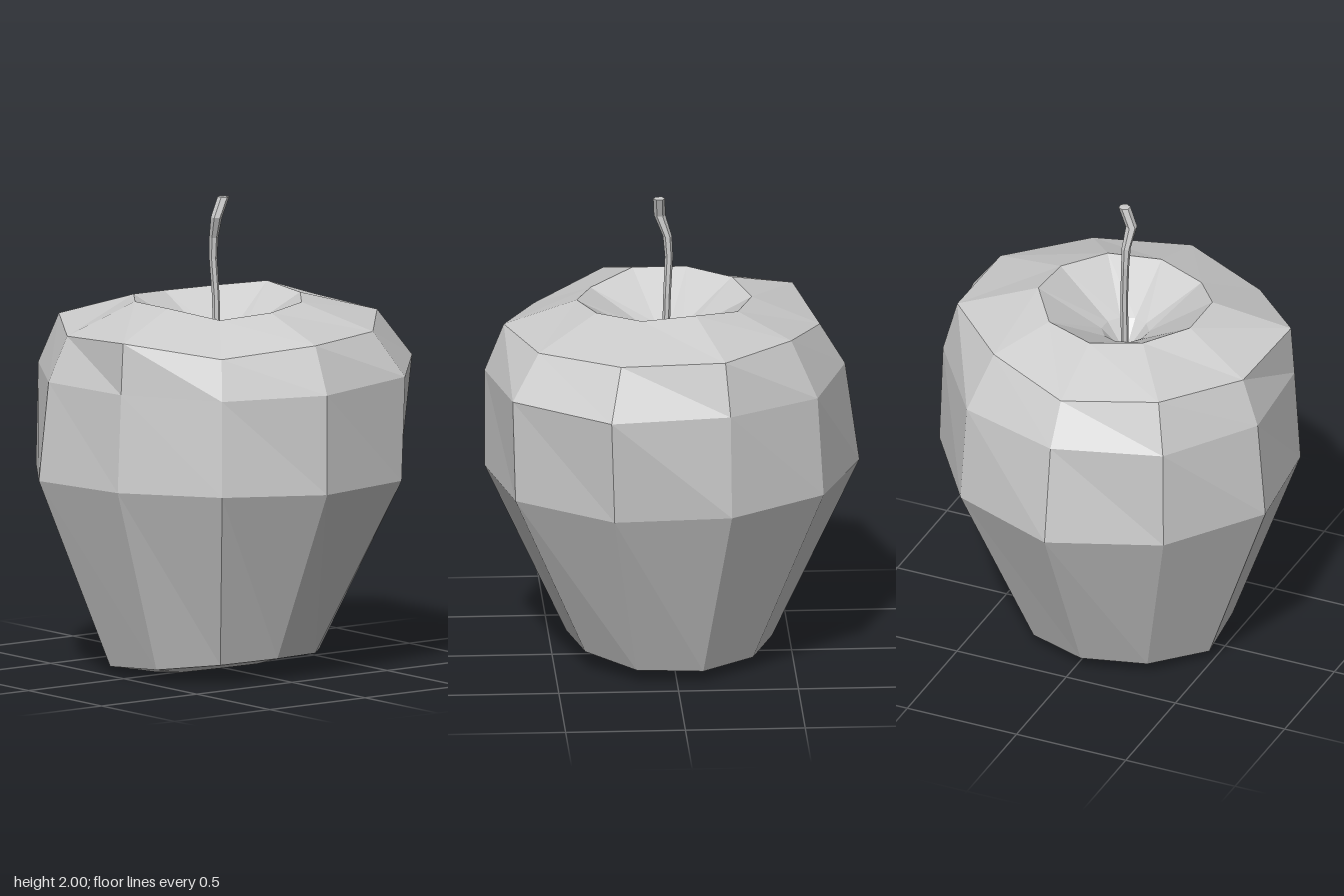
import * as THREE from 'three';

// Skins a stack of closed rings (arrays of [x, y, z], counter-clockwise from above, bottom to top).
function loft(rings) {
  const n = rings[0].length;
  const index = [];
  for (let i = 0; i < rings.length - 1; i++) {
    for (let k = 0; k < n; k++) {
      const a = i * n + k, b = i * n + (k + 1) % n;
      index.push(a, b, a + n, b, b + n, a + n);
    }
  }
  const geometry = new THREE.BufferGeometry();
  geometry.setAttribute('position', new THREE.Float32BufferAttribute(rings.flat(2), 3));
  geometry.setIndex(index);
  const flat = geometry.toNonIndexed();
  flat.computeVertexNormals();
  return flat;
}

// One ring; radius and height are single values or one value per corner.
function ring(n, cx, cz, radius, height) {
  const at = (v, k) => (Array.isArray(v) ? v[k] : v);
  return Array.from({ length: n }, (_, k) => {
    const t = (k / n) * Math.PI * 2;
    return [cx + at(radius, k) * Math.cos(t), at(height, k), cz - at(radius, k) * Math.sin(t)];
  });
}

export function createModel() {
  const group = new THREE.Group();
  const material = new THREE.MeshStandardMaterial({ color: 0xcccccc, flatShading: true });

  // Fruit: ten uneven sides, from the bottom dimple up and into the top hollow.
  const sections = [
    [0.001, 0.11],
    [0.045, 0.085],
    [0.27, [0.055, 0.06, 0.055, 0.05, 0.04, 0.02, 0.01, 0.0, 0.02, 0.045]],
    [[0.41, 0.425, 0.45, 0.45, 0.44, 0.45, 0.457, 0.475, 0.45, 0.435],
      [0.095, 0.085, 0.06, 0.05, 0.05, 0.055, 0.05, 0.035, 0.055, 0.085]],
    [[0.75, 0.8, 0.81, 0.78, 0.79, 0.815, 0.79, 0.79, 0.735, 0.73],
      [0.83, 0.83, 0.83, 0.83, 0.83, 0.825, 0.83, 0.835, 0.84, 0.84]],
    [[0.75, 0.815, 0.86, 0.765, 0.76, 0.755, 0.78, 0.747, 0.71, 0.7],
      [1.25, 1.27, 1.28, 1.27, 1.25, 1.25, 1.26, 1.25, 1.25, 1.24]],
    [[0.67, 0.675, 0.705, 0.705, 0.63, 0.65, 0.69, 0.665, 0.695, 0.645],
      [1.45, 1.455, 1.48, 1.49, 1.48, 1.425, 1.47, 1.44, 1.465, 1.41]],
    [0.365, [1.55, 1.565, 1.57, 1.59, 1.56, 1.55, 1.565, 1.57, 1.57, 1.53]],
    [0.1, 1.41],
    [0.001, 1.3],
  ];
  const fruit = new THREE.Mesh(loft(sections.map(([r, y]) => ring(10, 0.03, 0.03, r, y))), material);
  fruit.name = 'fruit';
  group.add(fruit);

  // Stem: a thin crooked stalk that thickens towards its cut end.
  const path = [
    [0.025, 1.32, 0.03, 0.001], [0.025, 1.32, 0.03, 0.016], [0.018, 1.57, 0.03, 0.016],
    [0.01, 1.73, 0.038, 0.017], [0.016, 1.82, 0.04, 0.019],
    [0.048, 1.91, 0.05, 0.024], [0.052, 1.995, 0.016, 0.025], [0.052, 1.997, 0.016, 0.001],
  ];
  const stem = new THREE.Mesh(loft(path.map(([x, y, z, r]) => ring(6, x, z, r, y))), material);
  stem.name = 'stem';
  group.add(stem);

  return group;
}
